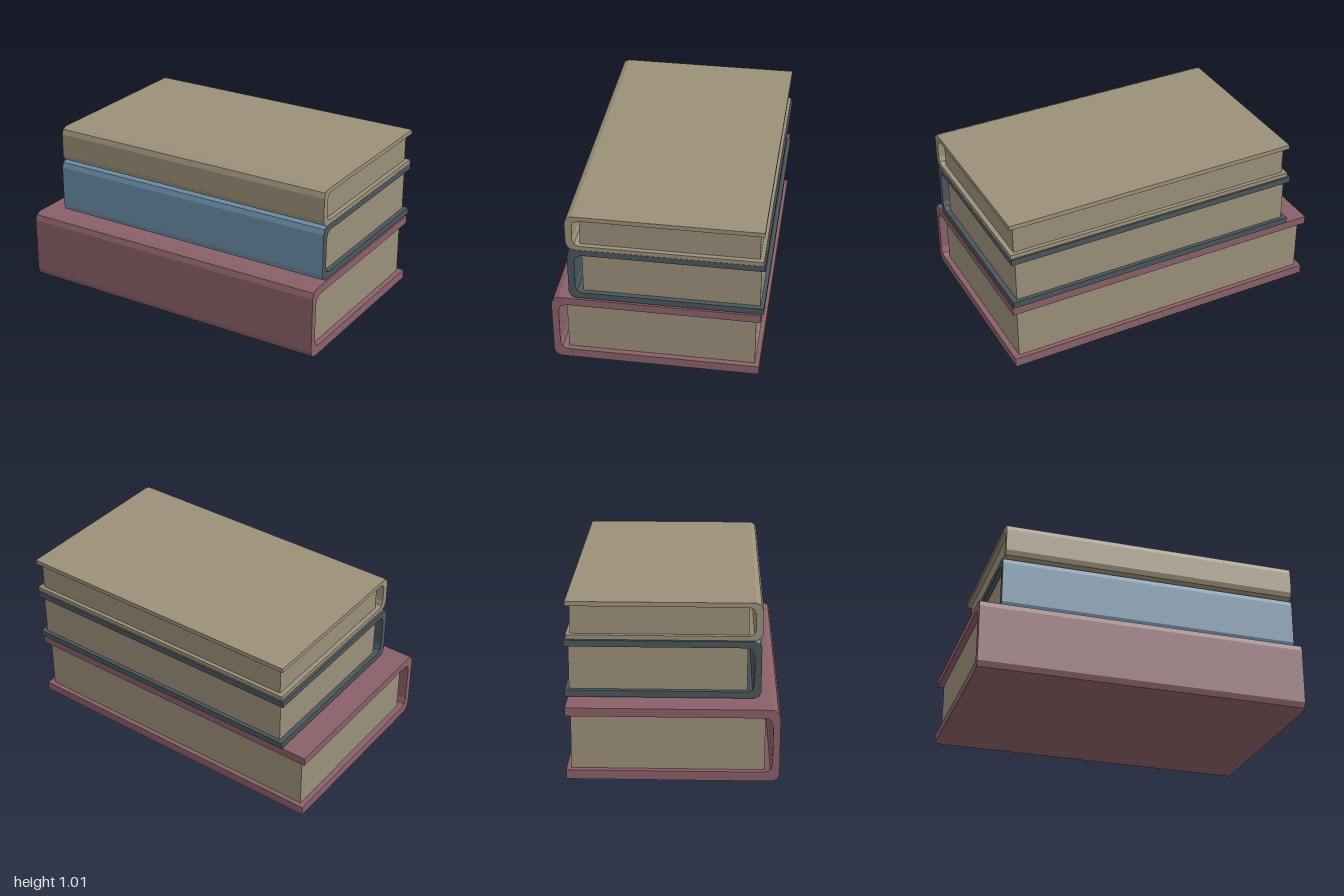
import * as THREE from 'three';

const mat = (name, color) => {
  const m = new THREE.MeshStandardMaterial({ color });
  m.name = name;
  return m;
};

// Faces that look forward are the outside of the spine: give them material 1.
function groupSpine(geo) {
  const n = geo.attributes.normal;
  geo.clearGroups();
  for (let i = 0; i < n.count; i += 3) geo.addGroup(i, 3, n.getZ(i) > 0.1 ? 1 : 0);
}

// C-shaped cover section, drawn with u = -z, then swept along x.
function coverGeometry({ x0, x1, y0, y1, front, back, bevel, inner, innerY0, innerY1, pageFront }) {
  // Two-step rounded corner from a horizontal board to the vertical spine
  const corner = (z, y, b, s) => [[z - b, y], [z - b * 0.28, y - s * b * 0.32], [z, y - s * b * 1.1]];
  const ib = inner - pageFront;
  const points = [
    [back, y1],
    ...corner(front, y1, bevel, 1),
    ...corner(front, y0, bevel, -1).reverse(),
    [back, y0],
    [back, innerY0],
    ...corner(inner, innerY0, ib, -1),
    ...corner(inner, innerY1, ib, 1).reverse(),
    [back, innerY1],
  ].map(([z, y]) => new THREE.Vector2(-z, y));
  const geo = new THREE.ExtrudeGeometry(new THREE.Shape(points), { depth: x1 - x0, bevelEnabled: false });
  geo.rotateY(Math.PI / 2);
  geo.translate(x0, 0, 0);
  groupSpine(geo);
  return geo;
}

function makeBook(name, b, coverMat, spineMat, pageMat) {
  const book = new THREE.Group();
  book.name = name;

  const cover = new THREE.Mesh(coverGeometry(b), [coverMat, spineMat]);
  cover.name = name + 'Cover';

  // Page block, set in from the cover at both ends and the back
  const w = b.x1 - b.x0 - 2 * b.inset;
  const h = b.innerY1 - b.innerY0;
  const d = b.pageFront - b.pageBack;
  const pages = new THREE.Mesh(new THREE.BoxGeometry(w, h, d), pageMat);
  pages.position.set((b.x0 + b.x1) / 2, (b.innerY0 + b.innerY1) / 2, (b.pageFront + b.pageBack) / 2);
  pages.name = name + 'Pages';

  book.add(cover, pages);
  return book;
}

export function createModel() {
  const red = mat('dustyRed', 0x8a6068);
  const slate = mat('darkSlate', 0x4a565b);
  const blue = mat('spineBlue', 0x6a8ba4);
  const tan = mat('tanCover', 0x9b9079);
  const paper = mat('paper', 0x9b8f7a);

  const model = new THREE.Group();
  model.name = 'bookStack';
  model.add(
    makeBook('bottomBook', {
      x0: -1, x1: 1, y0: 0, y1: 0.437, front: 0.618, back: -0.603, bevel: 0.044,
      inner: 0.577, innerY0: 0.056, innerY1: 0.387, pageFront: 0.533, pageBack: -0.575, inset: 0.034,
    }, red, red, paper),
    makeBook('middleBook', {
      x0: -0.85, x1: 1, y0: 0.448, y1: 0.79, front: 0.51, back: -0.618, bevel: 0.04,
      inner: 0.47, innerY0: 0.487, innerY1: 0.752, pageFront: 0.43, pageBack: -0.595, inset: 0.03,
    }, slate, blue, paper),
    makeBook('topBook', {
      x0: -0.835, x1: 1, y0: 0.791, y1: 1.015, front: 0.515, back: -0.608, bevel: 0.04,
      inner: 0.475, innerY0: 0.817, innerY1: 0.988, pageFront: 0.437, pageBack: -0.585, inset: 0.028,
    }, tan, tan, paper),
  );
  return model;
}
